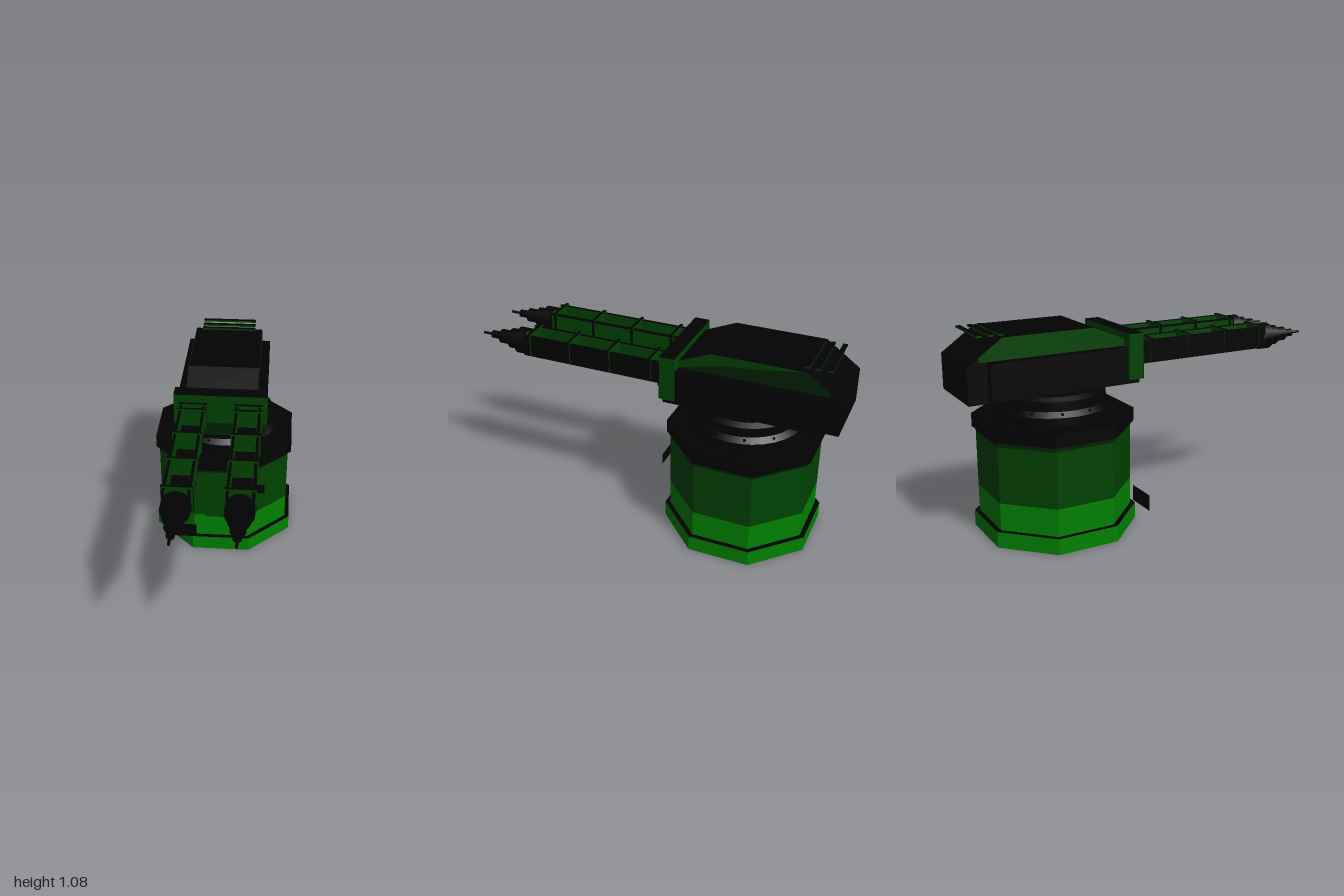
import * as THREE from 'three';

const mat = (name, color) => {
  const m = new THREE.MeshStandardMaterial({ color, side: THREE.DoubleSide });
  m.name = name;
  return m;
};

export function createModel() {
  const black = mat('black metal', 0x020202);
  const green = mat('bright green', 0x008101);
  const dark = mat('dark green', 0x004201);
  const deep = mat('deep green', 0x002102);
  const model = new THREE.Group();
  const CZ = -0.485; // centre of the base

  const add = (parent, name, geo, material, x = 0, y = 0, z = 0) => {
    const mesh = new THREE.Mesh(geo, material);
    mesh.name = name;
    mesh.position.set(x, y, z);
    parent.add(mesh);
    return mesh;
  };
  // box given by its limits
  const box = (parent, name, material, x0, x1, y0, y1, z0, z1) =>
    add(parent, name, new THREE.BoxGeometry(x1 - x0, y1 - y0, z1 - z0), material,
      (x0 + x1) / 2, (y0 + y1) / 2, (z0 + z1) / 2);
  // flat upright panel facing the front
  const panel = (parent, name, material, x0, x1, y0, y1, z) =>
    add(parent, name, new THREE.PlaneGeometry(x1 - x0, y1 - y0), material,
      (x0 + x1) / 2, (y0 + y1) / 2, z);
  // faceted octagonal drum with a flat side towards the front
  const octagon = (name, apothem, y0, y1, side) => {
    const r = apothem / Math.cos(Math.PI / 8);
    const geo = new THREE.CylinderGeometry(r, r, y1 - y0, 8).rotateY(Math.PI / 8).toNonIndexed();
    geo.computeVertexNormals();
    return add(model, name, geo, [side, black, black], 0, (y0 + y1) / 2, CZ);
  };
  // stepped round profile: each pair [radius, height] is a hard-edged corner
  const turned = (pts, segments) => {
    const p = [];
    pts.forEach(([r, y], i) => {
      p.push(new THREE.Vector2(r, y));
      if (i > 0 && i < pts.length - 1) p.push(new THREE.Vector2(r, y + 1e-5));
    });
    return new THREE.LatheGeometry(p, segments);
  };
  // side outline given as [z, y] pairs
  const outline = (pts) => new THREE.Shape(pts.map(([z, y]) => new THREE.Vector2(z, y)));

  // Base tower
  octagon('skirt', 0.395, 0, 0.085, green);
  octagon('lowerWall', 0.37, 0.085, 0.23, green);
  octagon('upperWall', 0.37, 0.23, 0.525, dark);
  octagon('wallTopBand', 0.37, 0.525, 0.55, deep);
  octagon('capPlate', 0.388, 0.55, 0.62, black);

  // Front hatch and signs
  const front = CZ + 0.37;
  panel(model, 'hatchLower', green, -0.09, 0.09, 0.14, 0.22, front + 0.002);
  panel(model, 'hatchUpper', dark, -0.09, 0.09, 0.22, 0.45, front + 0.002);
  panel(model, 'hatchPanelLower', green, -0.068, 0.068, 0.165, 0.22, front + 0.004);
  panel(model, 'hatchPanelUpper', dark, -0.068, 0.068, 0.22, 0.425, front + 0.004);
  panel(model, 'lowSign', black, -0.312, -0.139, 0.088, 0.175, -0.087);
  panel(model, 'highSign', black, 0.128, 0.247, 0.4, 0.46, front + 0.006);

  // Turning ring
  add(model, 'turningRing', turned([[0, 0.62], [0.302, 0.62], [0.302, 0.665], [0.275, 0.69],
    [0.275, 0.74], [0.245, 0.757], [0.19, 0.757], [0.19, 0.775], [0, 0.775]], 32), black, 0, 0, CZ);
  for (let i = 0; i < 12; i++) {
    const a = (i + 0.5) * Math.PI / 6;
    add(model, 'ringBolt', new THREE.CylinderGeometry(0.008, 0.008, 0.012, 6), black,
      0.285 * Math.sin(a), 0.677, CZ + 0.285 * Math.cos(a));
  }

  // Turret: central hull with a lower box on each side
  const turret = new THREE.Group();
  turret.name = 'turret';
  model.add(turret);
  const hull = new THREE.ExtrudeGeometry(outline([[-0.105, 0.76], [-0.105, 0.98], [-0.17, 1.0],
    [-0.34, 1.072], [-0.82, 1.072], [-1, 0.945], [-1, 0.76]]), { depth: 0.38, bevelEnabled: false });
  add(turret, 'hull', hull.rotateY(-Math.PI / 2).translate(0.19, 0, 0), black);
  box(turret, 'hullSides', black, -0.24, 0.24, 0.775, 0.962, -0.9, -0.105);
  // Painted walls above the side boxes; the left one has a darker lower part
  const wallUpper = [[-0.17, 0.963], [-0.17, 1.0], [-0.34, 1.072], [-0.82, 1.072], [-0.6, 1.04], [-0.36, 1.012]];
  const wallLower = [[-0.17, 0.963], [-0.36, 1.012], [-0.6, 1.04], [-0.82, 1.072], [-0.94, 0.987], [-0.94, 0.963]];
  for (const [name, pts, material, x] of [
    ['leftWallUpper', wallUpper, dark, 0.192], ['leftWallLower', wallLower, deep, 0.192],
    ['rightWallUpper', wallUpper, dark, -0.192], ['rightWallLower', wallLower, dark, -0.192],
  ]) add(turret, name, new THREE.ShapeGeometry(outline(pts)), material, x).rotation.y = -Math.PI / 2;
  // Rear slats: dark green edges, black tops
  for (const z of [-0.81, -0.86, -0.92])
    box(turret, 'roofSlat', [dark, dark, black, black, dark, dark], -0.155, 0.152, 1.073, 1.082, z - 0.012, z + 0.012);

  // Gun shield
  box(turret, 'shield', [dark, dark, black, black, dark, dark], -0.249, 0.247, 0.795, 1.032, -0.17, -0.088);
  panel(turret, 'shieldLowerFront', deep, -0.249, 0.247, 0.795, 0.87, -0.086);

  // Twin guns: open troughs with cross frames and stepped nozzles
  const framed = [black, black, black, black, dark, dark];
  for (const s of [-1, 1]) {
    const gun = new THREE.Group();
    gun.name = s > 0 ? 'leftGun' : 'rightGun';
    gun.position.set(s * 0.147, 0.913, 0);
    turret.add(gun);
    box(gun, 'gunMount', framed, -0.074, 0.074, -0.06, 0.075, -0.1, -0.07);
    box(gun, 'gunBody', black, -0.067, 0.067, -0.05, -0.02, -0.1, 0.71);
    for (const t of [-1, 1]) {
      const rail = box(gun, 'gunRail', black, -0.007, 0.007, -0.02, 0.069, -0.1, 0.71);
      rail.position.x = t * 0.06;
      const lining = box(gun, 'railLining', dark, -0.001, 0.001, -0.02, 0.066, -0.1, 0.71);
      lining.position.x = t * 0.0525;
    }
    // green panel on the side facing the other gun
    const inner = box(gun, 'innerSidePanel', dark, -0.001, 0.001, -0.02, 0.06, -0.07, 0.7);
    inner.position.x = -s * 0.0675;
    for (const z of [-0.02, 0.21, 0.44, 0.675])
      box(gun, 'crossFrame', framed, -0.075, 0.075, -0.045, 0.078, z - 0.008, z + 0.008);
    const nozzle = turned([[0, 0.69], [0.068, 0.7], [0.071, 0.71], [0.071, 0.77], [0.054, 0.77],
      [0.054, 0.82], [0.038, 0.82], [0.038, 0.885], [0.021, 0.885], [0.021, 0.943],
      [0.007, 0.943], [0.007, 1], [0, 1]], 20);
    add(gun, 'nozzle', nozzle.rotateX(Math.PI / 2), black);
  }
  return model;
}
